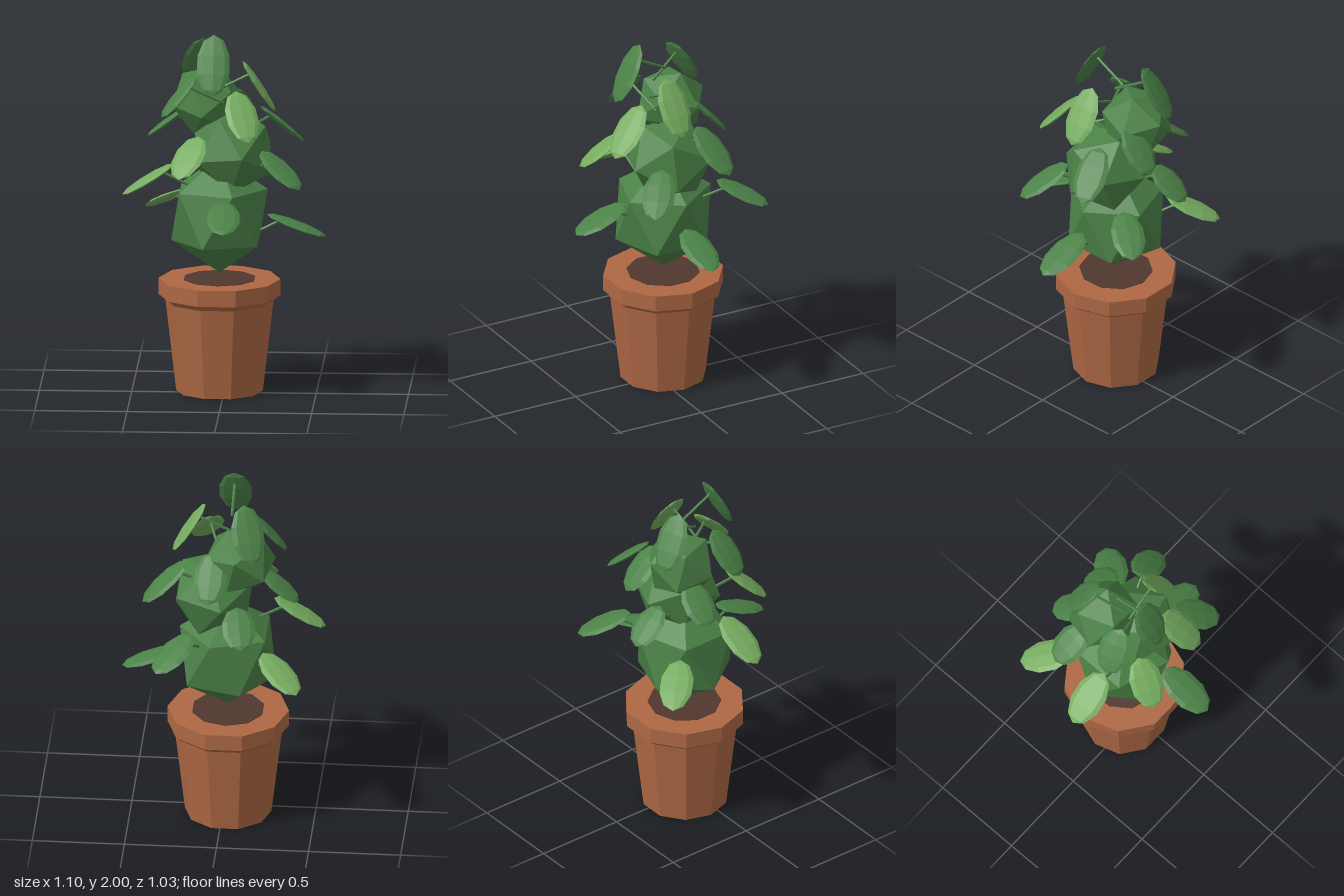
import * as THREE from 'three';
import { ConvexGeometry } from 'three/addons/geometries/ConvexGeometry.js';

const terracotta = new THREE.MeshStandardMaterial({ color: 0xae6844 });
const soilBrown = new THREE.MeshStandardMaterial({ color: 0x50372f });
const leafGreen = new THREE.MeshStandardMaterial({ color: 0x4b8247 });
const lightGreen = new THREE.MeshStandardMaterial({ color: 0x75ac5f });
terracotta.name = 'terracotta';
soilBrown.name = 'soil brown';
leafGreen.name = 'leaf green';
lightGreen.name = 'light green';

const UP = new THREE.Vector3(0, 1, 0);
const AXIS_X = -0.027, AXIS_Z = -0.055;

// Splits shared corners so every face is flat
function faceted(geometry) {
  const g = geometry.index ? geometry.toNonIndexed() : geometry;
  g.computeVertexNormals();
  return g;
}

function addMesh(parent, name, geometry, material) {
  const mesh = new THREE.Mesh(geometry, material);
  mesh.name = name;
  parent.add(mesh);
  return mesh;
}

// Twenty-sided foliage mass with one corner pointing along the given axis
function foliageMass(parent, name, center, radius, stretch, axis, spin) {
  const points = [new THREE.Vector3(0, radius, 0), new THREE.Vector3(0, -radius, 0)];
  const ring = radius * 0.894, h = radius * 0.447;
  for (let i = 0; i < 10; i++) {
    const a = spin + (i * Math.PI) / 5;
    points.push(new THREE.Vector3(ring * Math.cos(a), i % 2 ? -h : h, ring * Math.sin(a)));
  }
  const q = new THREE.Quaternion().setFromUnitVectors(UP, new THREE.Vector3(...axis).normalize());
  points.forEach((p) => p.applyQuaternion(q));
  const mesh = addMesh(parent, name, new ConvexGeometry(points), leafGreen);
  mesh.position.set(...center);
  mesh.scale.y = stretch;
}

// Flattened blade from base to tip, with a thin stalk running back inwards
const bladeGeometry = faceted(new THREE.SphereGeometry(1, 8, 5));
function leaf(parent, baseXYZ, tipXYZ, material) {
  const base = new THREE.Vector3(...baseXYZ), tip = new THREE.Vector3(...tipXYZ);
  const along = tip.clone().sub(base);
  const length = along.length();
  along.normalize();
  const side = new THREE.Vector3().crossVectors(along, UP).normalize();
  const normal = new THREE.Vector3().crossVectors(side, along);
  const group = new THREE.Group();
  group.name = 'leaf';
  parent.add(group);

  const blade = addMesh(group, 'leafBlade', bladeGeometry, material);
  blade.quaternion.setFromRotationMatrix(new THREE.Matrix4().makeBasis(side, along, normal));
  blade.position.copy(base).lerp(tip, 0.5);
  blade.scale.set(0.092, length / 2, 0.018);

  const start = base.clone().lerp(tip, 0.25);
  const inward = new THREE.Vector3(-along.x, 0, -along.z).normalize();
  const end = start.clone().addScaledVector(inward, 0.2).addScaledVector(UP, -0.1);
  const dir = end.clone().sub(start);
  const stalk = addMesh(group, 'leafStalk',
    faceted(new THREE.CylinderGeometry(0.008, 0.008, dir.length(), 5)), leafGreen);
  stalk.position.copy(start).lerp(end, 0.5);
  stalk.quaternion.setFromUnitVectors(UP, dir.normalize());
}

export function createModel() {
  const model = new THREE.Group();
  model.name = 'pottedPlant';

  // Ten-sided pot with a flared rim
  const profile = [[0, 0], [0.235, 0], [0.293, 0.5], [0.33, 0.53], [0.33, 0.62], [0, 0.62]]
    .map(([r, y]) => new THREE.Vector2(r, y));
  const pot = addMesh(model, 'pot',
    faceted(new THREE.LatheGeometry(profile, 10, Math.PI / 2)), terracotta);
  pot.position.set(AXIS_X, 0, AXIS_Z);

  // Soil
  const soil = addMesh(model, 'soil', faceted(new THREE.CylinderGeometry(0.2, 0.2, 0.004, 10)), soilBrown);
  soil.position.set(AXIS_X, 0.621, AXIS_Z);

  // Three stacked foliage masses
  foliageMass(model, 'lowerFoliage', [AXIS_X, 0.975, AXIS_Z], 0.293, 1.1, [0, 1, 0], 0);
  foliageMass(model, 'middleFoliage', [0.05, 1.33, -0.05], 0.245, 1, [0.055, 0, 0.24], 0.25);
  foliageMass(model, 'upperFoliage', [-0.1, 1.59, -0.14], 0.2, 1, [0.95, 0.1, -0.35], 0.3);

  // Leaves: base point, tip point
  const darkLeaves = [
    [[-0.21, 1.54, -0.17], [-0.425, 1.375, -0.2]],
    [[-0.09, 1.36, -0.27], [-0.13, 1.2, -0.47]],
    [[-0.12, 1.93, -0.16], [-0.18, 1.65, -0.32]],
    [[0.04, 1.65, -0.19], [0.06, 1.43, -0.39]],
    [[0.16, 1.19, -0.28], [0.33, 1.06, -0.51]],
    [[0.19, 1.56, -0.14], [0.425, 1.345, -0.22]],
    [[0.23, 0.98, -0.05], [0.55, 0.86, -0.05]],
    [[0.21, 1.36, 0.08], [0.42, 1.18, 0.24]],
    [[0.01, 1.1, 0.2], [0.02, 0.985, 0.51]],
    [[-0.05, 2.0, 0.075], [-0.05, 1.69, 0.23]],
    [[-0.15, 1.76, 0.04], [-0.335, 1.54, 0.09]],
  ];
  const lightLeaves = [
    [[-0.23, 1.07, -0.24], [-0.43, 0.93, -0.45]],
    [[-0.27, 1.27, 0.02], [-0.55, 1.1, 0.04]],
    [[-0.13, 1.45, 0.14], [-0.23, 1.255, 0.35]],
    [[0.07, 1.7, 0.13], [0.15, 1.46, 0.34]],
    [[0.1, 1.84, 0], [0.28, 1.56, -0.01]],
  ];
  darkLeaves.forEach(([base, tip]) => leaf(model, base, tip, leafGreen));
  lightLeaves.forEach(([base, tip]) => leaf(model, base, tip, lightGreen));

  return model;
}
